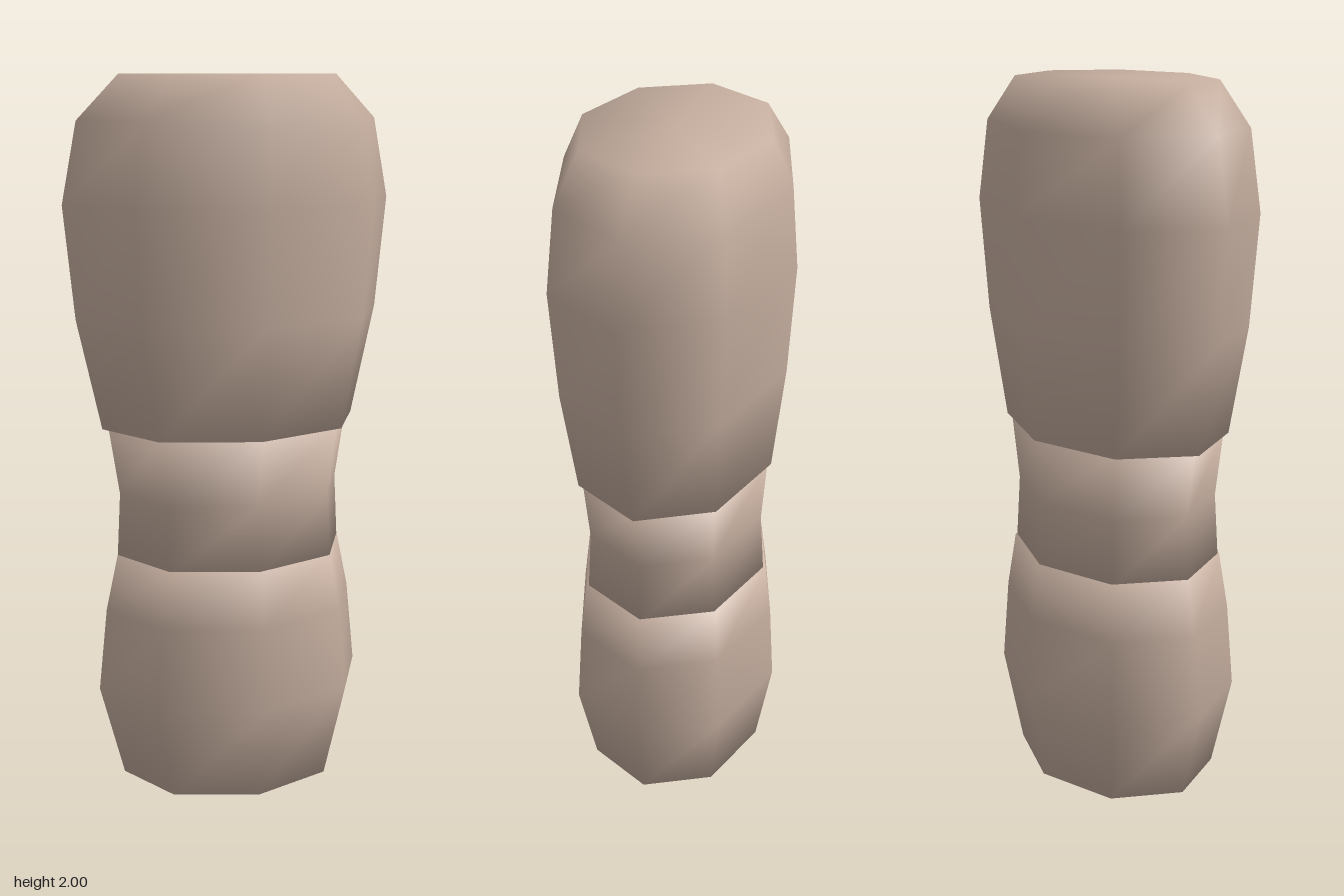
import * as THREE from 'three';

const SIDES = 8;

// Closed, smooth eight-sided loft from rings of [y, half width, half depth]
function loft(rings) {
  const pos = [], index = [];
  for (const [y, rx, rz] of rings) {
    for (let i = 0; i < SIDES; i++) {
      const a = (i / SIDES) * Math.PI * 2;
      pos.push(rx * Math.sin(a), y, rz * Math.cos(a));
    }
  }
  const last = (rings.length - 1) * SIDES;
  const bottom = rings.length * SIDES, top = bottom + 1;
  pos.push(0, rings[0][0], 0, 0, rings[rings.length - 1][0], 0);

  for (let i = 0; i < SIDES; i++) {
    const j = (i + 1) % SIDES;
    // side walls
    for (let r = 0; r < last; r += SIDES) {
      index.push(r + i, r + j, r + SIDES + j, r + i, r + SIDES + j, r + SIDES + i);
    }
    // end caps share the rim vertices so the shading rolls over the edge
    index.push(bottom, j, i, top, last + i, last + j);
  }
  const geometry = new THREE.BufferGeometry();
  geometry.setAttribute('position', new THREE.Float32BufferAttribute(pos, 3));
  geometry.setIndex(index);
  geometry.computeVertexNormals();
  return geometry;
}

export function createModel() {
  const group = new THREE.Group();
  group.name = 'segmentedLimb';
  const clay = new THREE.MeshStandardMaterial({ color: 0xc4ad9e });
  clay.name = 'warm beige';

  const parts = {
    lowerSegment: [
      [0, 0.325, 0.265], [0.27, 0.395, 0.31], [0.51, 0.37, 0.295], [0.67, 0.335, 0.275],
    ],
    middleSegment: [
      [0.66, 0.335, 0.268], [0.85, 0.325, 0.255], [1.045, 0.355, 0.268],
    ],
    upperSegment: [
      [1.04, 0.372, 0.278], [1.35, 0.44, 0.31], [1.66, 0.47, 0.325],
      [1.88, 0.427, 0.305], [2, 0.31, 0.25],
    ],
  };
  for (const [name, rings] of Object.entries(parts)) {
    const mesh = new THREE.Mesh(loft(rings), clay);
    mesh.name = name;
    group.add(mesh);
  }
  return group;
}
